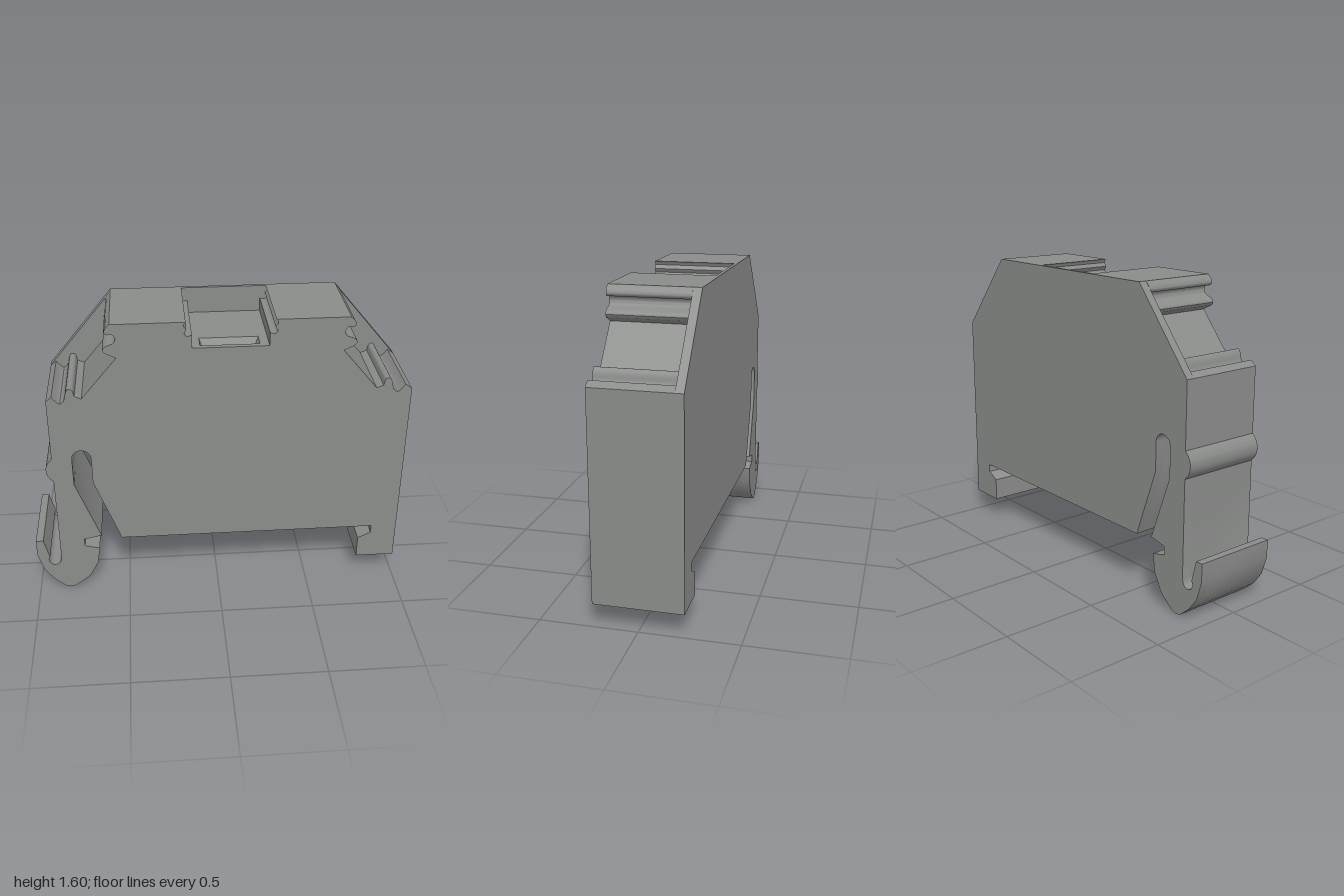
import * as THREE from 'three';
import { toCreasedNormals } from 'three/addons/utils/BufferGeometryUtils.js';

const MID = 0.0625; // symmetry axis of the upper body
const mirror = (pts) => pts.map(([x, y]) => [2 * MID - x, y]).reverse();

// Smooth a few points into a rounded run
const round = (pts, n = 24) =>
  new THREE.CatmullRomCurve3(pts.map(([x, y]) => new THREE.Vector3(x, y, 0)), false, 'centripetal')
    .getPoints(n).map((p) => [p.x, p.y]);

// Lower outline, clockwise from the right shoulder to the left shoulder
const slotTop = [];
for (let i = 0; i <= 12; i++) {
  const a = (i / 12) * Math.PI;
  slotTop.push([-0.715 + 0.05 * Math.cos(a), 0.845 + 0.05 * Math.sin(a)]);
}
const lower = [
  [1, 1.19], [1, 0.12], [0.79, 0.12], [0.79, 0.245], [0.86, 0.28], [0.86, 0.325],
  [-0.53, 0.325], [-0.665, 0.695],
  ...slotTop,
  [-0.765, 0.685], [-0.64, 0.345], [-0.735, 0.325], [-0.735, 0.28], [-0.655, 0.26],
  // rail hook
  [-0.67, 0.16], [-0.72, 0.07],
  ...round([[-0.8, 0.007], [-0.83, 0], [-0.86, 0.007]], 8),
  [-0.92, 0.06], [-0.97, 0.13], [-1, 0.23], [-1, 0.325], [-0.96, 0.325], [-0.932, 0.215],
  ...round([[-0.94, 0.195], [-0.93, 0.17], [-0.905, 0.16], [-0.88, 0.172], [-0.87, 0.2]], 12),
  // side bump
  [-0.87, 0.71],
  ...round([[-0.885, 0.725], [-0.9, 0.75], [-0.905, 0.78], [-0.9, 0.81], [-0.885, 0.835]], 12),
  [-0.87, 0.85], [-0.87, 1.19],
];

// Marker recess on the left slope, from the shoulder up to the top edge
const recessLeft = [
  ...round([[-0.84, 1.215], [-0.82, 1.19], [-0.8, 1.175], [-0.78, 1.19], [-0.768, 1.235],
    [-0.755, 1.255], [-0.735, 1.25], [-0.725, 1.215]], 28),
  [-0.69, 1.2], [-0.505, 1.42],
  ...round([[-0.56, 1.447], [-0.57, 1.465], [-0.555, 1.483], [-0.515, 1.5], [-0.505, 1.525],
    [-0.522, 1.548], [-0.545, 1.545], [-0.557, 1.56], [-0.55, 1.58]], 28),
];

// Left wall of the top notch, from the top edge down to its floor seat
const notchLeft = [
  ...round([[-0.16, 1.6], [-0.17, 1.58], [-0.157, 1.56], [-0.168, 1.54], [-0.155, 1.525], [-0.13, 1.53]], 20),
  [-0.13, 1.4],
];

function layer(name, z0, z1, hasNotch, hasRecess, material) {
  const pts = [
    ...lower,
    ...(hasRecess ? recessLeft : []),
    [-0.53, 1.6],
    ...(hasNotch ? [...notchLeft, ...mirror(notchLeft)] : []),
    [0.655, 1.6],
    ...(hasRecess ? mirror(recessLeft) : []),
  ];
  const shape = new THREE.Shape(pts.map(([x, y]) => new THREE.Vector2(x, y)));
  const geo = new THREE.ExtrudeGeometry(shape, { depth: z1 - z0, bevelEnabled: false });
  geo.translate(0, 0, z0);
  const mesh = new THREE.Mesh(toCreasedNormals(geo, 0.5), material);
  mesh.name = name;
  return mesh;
}

export function createModel() {
  const grey = new THREE.MeshStandardMaterial({ color: 0x8a8c8a });
  grey.name = 'housing grey';
  const group = new THREE.Group();
  group.name = 'terminalBlock';

  // Housing in three depths: plain back, notched wall, fully recessed body
  group.add(
    layer('backPlate', -0.228, -0.21, false, false, grey),
    layer('notchedWall', -0.21, -0.185, true, false, grey),
    layer('body', -0.185, 0.228, true, true, grey),
  );

  // Notch floor with a rectangular opening
  const rect = (P, x0, x1, z0, z1) => new P([
    new THREE.Vector2(x0, -z0), new THREE.Vector2(x1, -z0),
    new THREE.Vector2(x1, -z1), new THREE.Vector2(x0, -z1),
  ]);
  const floorShape = rect(THREE.Shape, -0.13, 0.255, -0.21, 0.228);
  floorShape.holes.push(rect(THREE.Path, -0.09, 0.21, 0.115, 0.2));
  const floorGeo = new THREE.ExtrudeGeometry(floorShape, { depth: 0.06, bevelEnabled: false });
  floorGeo.rotateX(-Math.PI / 2).translate(0, 1.4, 0);
  const floor = new THREE.Mesh(floorGeo, grey);
  floor.name = 'notchFloor';
  group.add(floor);

  // Tapered pocket in the opening: an inside-out box narrowed at its base
  const pocketGeo = new THREE.BoxGeometry(0.3, 0.05, 0.085);
  const p = pocketGeo.attributes.position;
  for (let i = 0; i < p.count; i++) {
    if (p.getY(i) < 0) {
      p.setX(i, p.getX(i) - Math.sign(p.getX(i)) * 0.02);
      p.setZ(i, p.getZ(i) - Math.sign(p.getZ(i)) * 0.02);
    }
  }
  pocketGeo.scale(1, 1, -1);
  pocketGeo.computeVertexNormals();
  const pocket = new THREE.Mesh(pocketGeo, grey);
  pocket.name = 'floorPocket';
  pocket.position.set(0.06, 1.435, 0.1575);
  group.add(pocket);

  return group;
}
